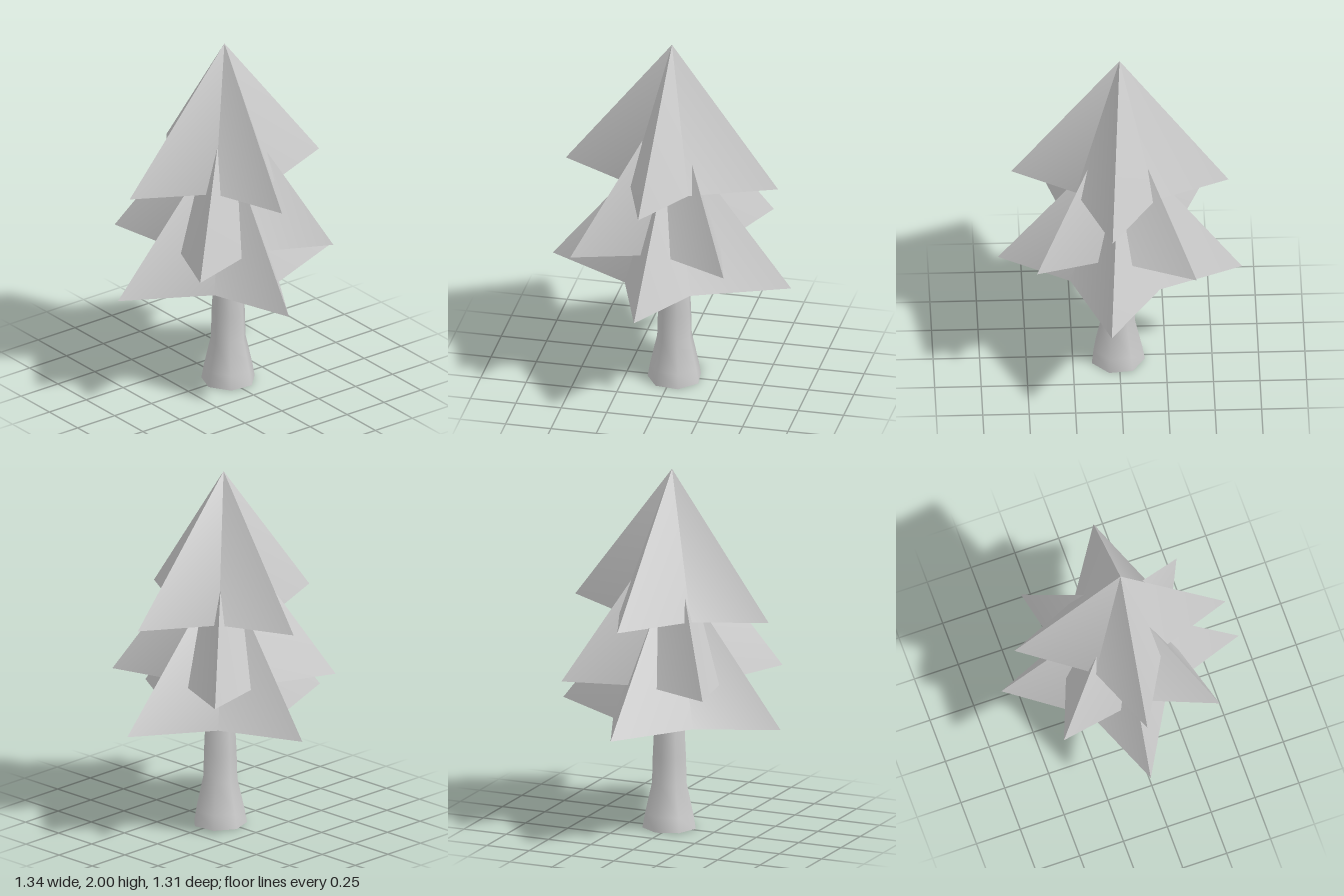
import * as THREE from 'three';
import { toCreasedNormals } from 'three/addons/utils/BufferGeometryUtils.js';

const material = new THREE.MeshStandardMaterial({ color: 0xcccccc });
const rad = THREE.MathUtils.degToRad;

// Star outline as [angle in degrees, radius]: four long tips with uneven notches between
const star = [
  [5.5, 0.675], [59, 0.315], [95.5, 0.655], [138.5, 0.29],
  [185.5, 0.675], [226, 0.34], [275.5, 0.66], [320.4, 0.328],
];

// Star-based pyramid with a flat underside; valleys are soft, ridges sharp
function foliageTier(name, baseY, apexY, scale, turn) {
  const cx = -0.003, cz = -0.003;
  const ring = star.map(([angle, r]) => {
    const a = rad(angle + turn);
    return [cx + Math.cos(a) * r * scale, baseY, cz + Math.sin(a) * r * scale];
  });
  const apex = [cx, apexY, cz];
  const centre = [cx, baseY, cz];
  const positions = [];
  ring.forEach((p, i) => {
    const next = ring[(i + 1) % ring.length];
    positions.push(...apex, ...next, ...p);
    positions.push(...centre, ...p, ...next);
  });
  const geometry = new THREE.BufferGeometry();
  geometry.setAttribute('position', new THREE.Float32BufferAttribute(positions, 3));
  const mesh = new THREE.Mesh(toCreasedNormals(geometry, rad(57)), material);
  mesh.name = name;
  return mesh;
}

// Seven-sided trunk flaring towards the ground
function trunk() {
  const profile = [
    [0, 0], [0.148, 0], [0.134, 0.08], [0.096, 0.25],
    [0.092, 0.4], [0.086, 0.52], [0.081, 0.64], [0.075, 0.8], [0, 0.8],
  ].map(([r, y]) => new THREE.Vector2(r, y));
  const lathe = new THREE.LatheGeometry(profile, 7, rad(225));
  const mesh = new THREE.Mesh(toCreasedNormals(lathe, rad(57)), material);
  mesh.position.set(0.016, 0, 0.009);
  mesh.name = 'trunk';
  return mesh;
}

export function createModel() {
  const tree = new THREE.Group();
  tree.name = 'tree';
  tree.add(
    trunk(),
    foliageTier('lowerFoliage', 0.635, 1.475, 1, 0),
    foliageTier('middleFoliage', 0.86, 1.71, 0.915, -45.8),
    foliageTier('upperFoliage', 1.222, 2, 0.89, 0),
  );
  return tree;
}
